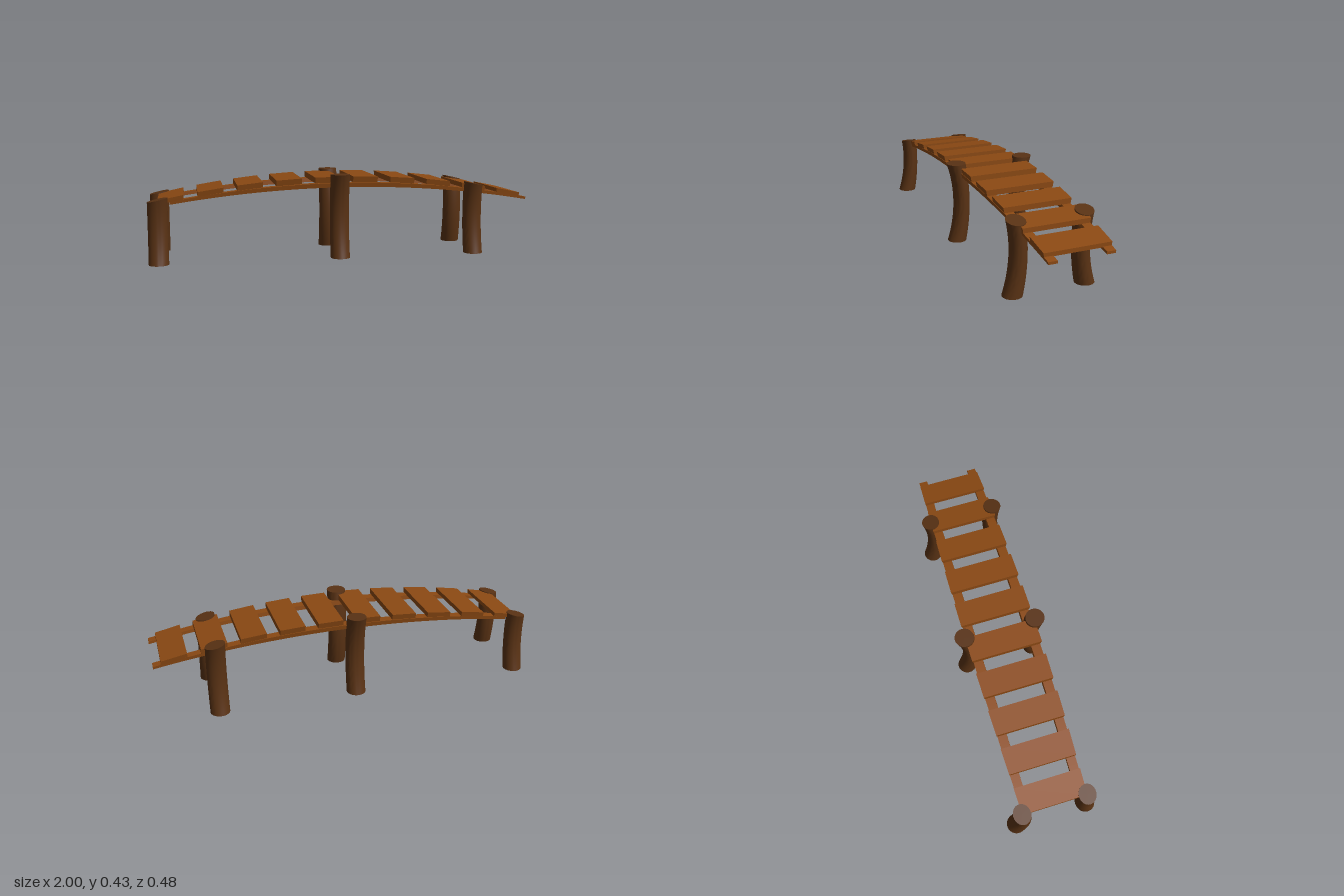
import * as THREE from 'three';
import { toCreasedNormals } from 'three/addons/utils/BufferGeometryUtils.js';

const plankWood = new THREE.MeshStandardMaterial({ color: 0x8b4913 });
const postWood = new THREE.MeshStandardMaterial({ color: 0x593214 });

// The whole bridge is waisted: z narrows towards mid height
const waist = (y) => 0.852 + 0.148 * ((y - 0.217) / 0.217) ** 2;

// Move every vertex by a rule, apply the waist, keep sharp edges sharp
function shaped(geometry, rule) {
  const p = geometry.attributes.position;
  const v = new THREE.Vector3();
  for (let i = 0; i < p.count; i++) {
    v.fromBufferAttribute(p, i);
    rule(v);
    v.z *= waist(v.y);
    p.setXYZ(i, v.x, v.y, v.z);
  }
  return toCreasedNormals(geometry, 0.6);
}

export function createModel() {
  const bridge = new THREE.Group();
  bridge.name = 'footbridge';
  const add = (name, geometry, material) => {
    const mesh = new THREE.Mesh(geometry, material);
    mesh.name = name;
    bridge.add(mesh);
  };

  // Curved posts in pairs; the cut tops follow the slope of the deck
  const posts = [
    { x: -0.95, top: 0.322, slope: 0.22 },
    { x: -0.03, top: 0.433, slope: 0 },
    { x: 0.695, top: 0.372, slope: -0.22 },
  ];
  for (const { x, top, slope } of posts) {
    for (const side of [1, -1]) {
      const geo = shaped(new THREE.CylinderGeometry(0.05, 0.05, 1, 32, 16), (v) => {
        v.y = (v.y + 0.5) * (top + slope * v.x);
        v.x += x;
        v.z += 0.19 * side;
      });
      add(side > 0 ? 'frontPost' : 'backPost', geo, postWood);
    }
  }

  // Arched rails under the deck
  for (const side of [1, -1]) {
    const geo = shaped(new THREE.BoxGeometry(1.89, 1, 0.052, 40, 1, 1), (v) => {
      v.x += 0.055;
      v.y = v.y > 0 ? 0.388 - 0.098 * v.x ** 2 : 0.365 - 0.088 * v.x ** 2;
      v.z += 0.164 * side;
    });
    add(side > 0 ? 'frontRail' : 'backRail', geo, plankWood);
  }

  // Ten planks, each flat and tilted along the arch
  for (let i = 0; i < 10; i++) {
    const cx = -0.886 + i * 0.198;
    const geo = shaped(new THREE.BoxGeometry(0.13, 1, 0.38), (v) => {
      const thick = 0.03 - 0.011 * cx ** 2;
      const top = 0.421 - 0.115 * cx ** 2 - 0.23 * cx * v.x;
      v.y = v.y > 0 ? top : top - thick;
      v.x += cx;
    });
    add('plank', geo, plankWood);
  }
  return bridge;
}
